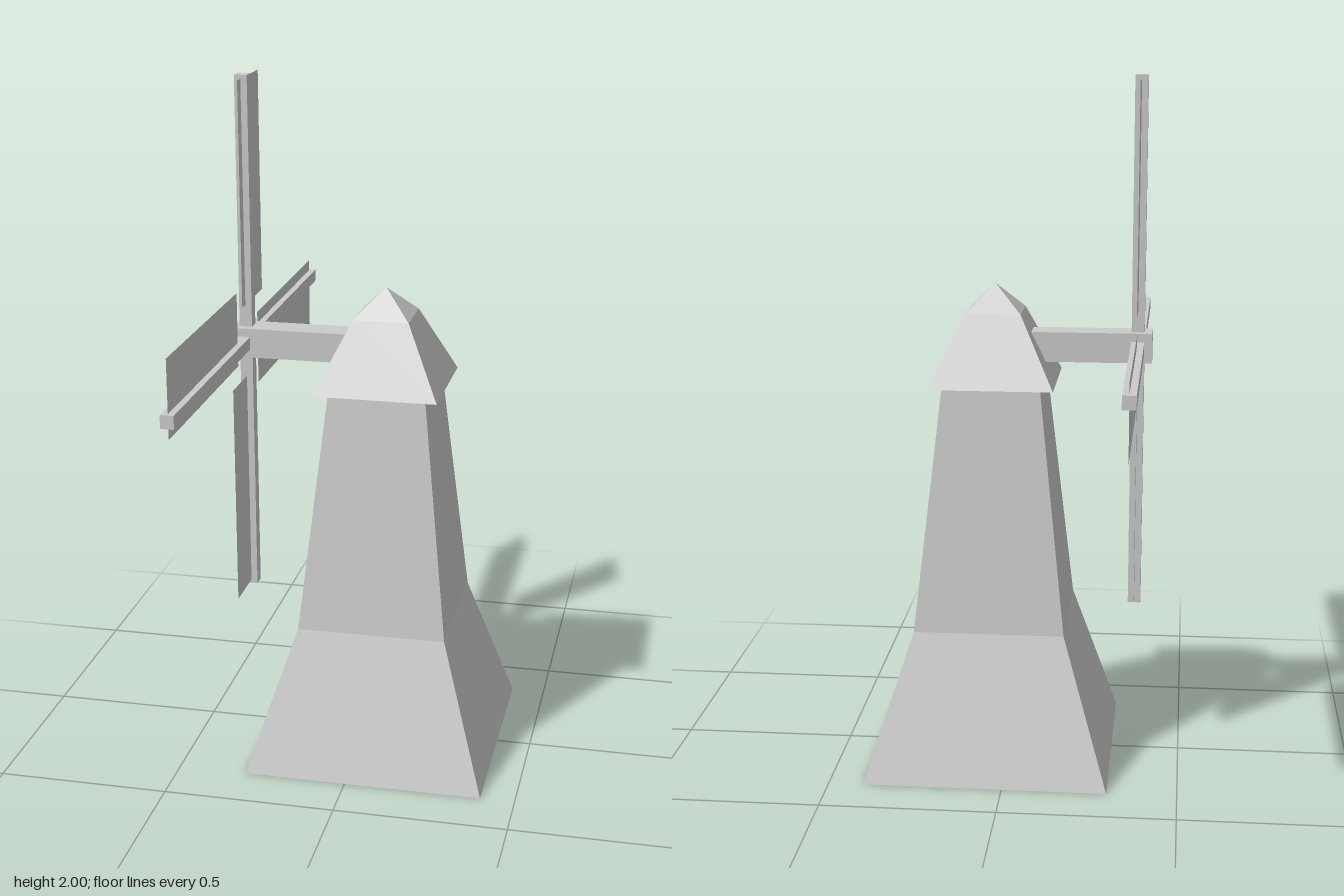
import * as THREE from 'three';

const grey = new THREE.MeshStandardMaterial({ color: 0xcccccc, flatShading: true });
const sailGrey = new THREE.MeshStandardMaterial({ color: 0xcccccc, flatShading: true, side: THREE.DoubleSide });

function part(name, geometry, material = grey) {
  const mesh = new THREE.Mesh(geometry, material);
  mesh.name = name;
  return mesh;
}

// Four-sided solid from [half width, height] rings, bottom to top
function squareLathe(rings) {
  const points = rings.map(([half, y]) => new THREE.Vector2(half * Math.SQRT2, y));
  const geometry = new THREE.LatheGeometry(points, 4, Math.PI / 4).toNonIndexed();
  geometry.computeVertexNormals();
  return geometry;
}

export function createModel() {
  const model = new THREE.Group();
  model.name = 'windmill';

  // Tower with flared base, and cap with a closed underside
  const tower = part('tower', squareLathe([[0, 0], [0.35, 0], [0.217, 0.42], [0.14, 1.13], [0, 1.13]]));
  const cap = part('cap', squareLathe([[0, 1.128], [0.18, 1.128], [0.08, 1.33], [0, 1.41]]));
  tower.position.x = cap.position.x = 0.05;
  model.add(tower, cap);

  // Axle running from the hub into the cap
  const axle = part('axle', new THREE.BoxGeometry(0.4, 0.086, 0.086));
  axle.position.set(-0.203, 1.232, 0);
  model.add(axle);

  // Rotor: four spars, each with an offset flat sail
  const rotor = new THREE.Group();
  rotor.name = 'rotor';
  rotor.position.set(-0.362, 1.232, 0);
  for (let i = 0; i < 4; i++) {
    const blade = new THREE.Group();
    blade.name = 'blade';
    const spar = part('spar', new THREE.BoxGeometry(0.037, 0.768, 0.037).translate(0, 0.384, 0));
    const sail = part('sail', new THREE.PlaneGeometry(0.217, 0.65).rotateY(-Math.PI / 2), sailGrey);
    sail.position.set(0, 0.432, -0.057);
    blade.add(spar, sail);
    blade.rotation.x = i * Math.PI / 2;
    rotor.add(blade);
  }
  model.add(rotor);
  return model;
}
